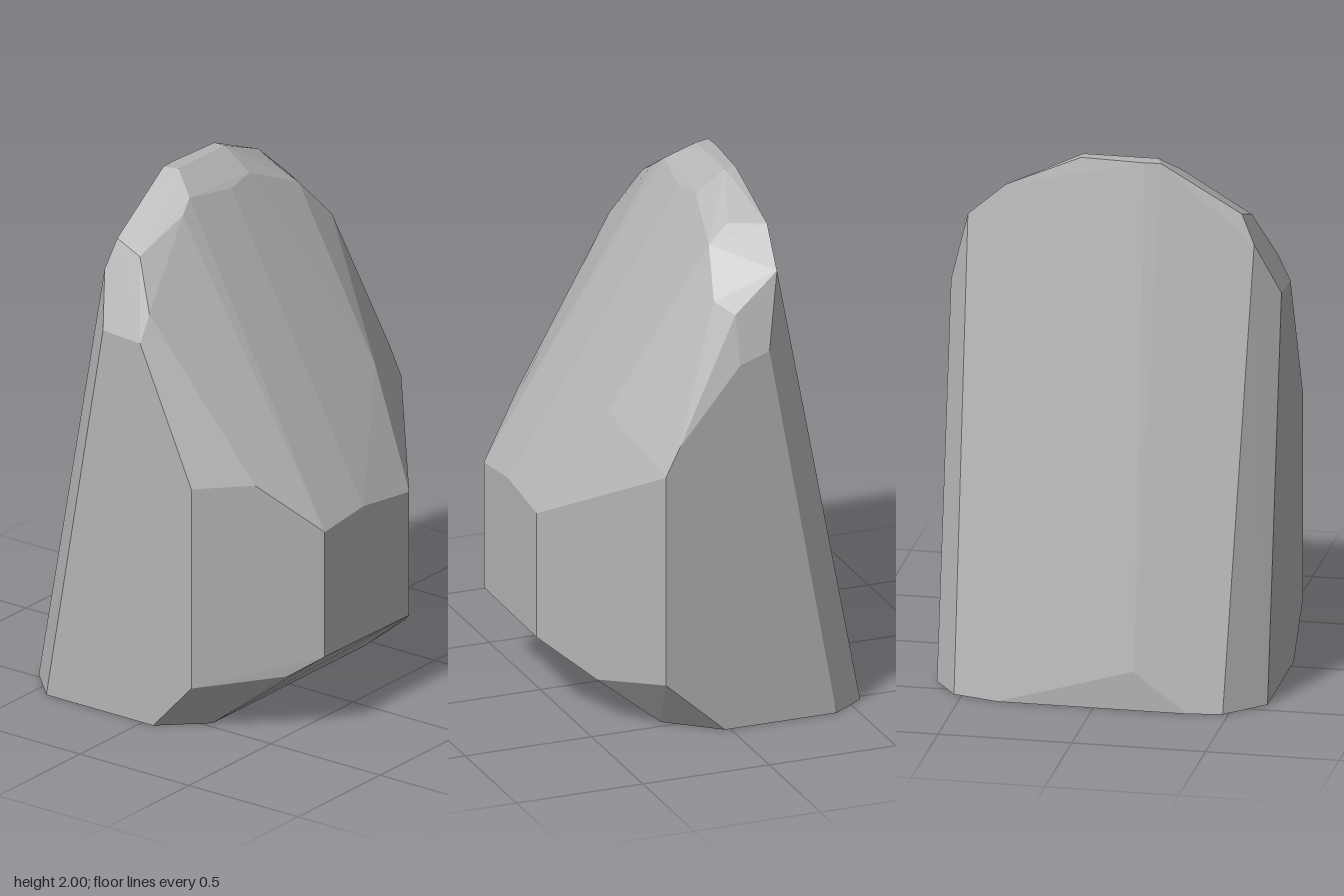
import * as THREE from 'three';
import { ConvexGeometry } from 'three/addons/geometries/ConvexGeometry.js';

const toVectors = (list) => list.map(([x, y, z]) => new THREE.Vector3(x, y, z));

export function createModel() {
  const stone = new THREE.MeshStandardMaterial({ color: 0xb4b4b4 });
  stone.name = 'grey stone';

  // Flat underside, as x and z corners on the ground
  const base = [
    [-0.44, 0.62], [0.05, 0.62], [0.21, 0.47], [0.21, -0.46], [0.02, -0.62],
    [-0.42, -0.62], [-0.55, -0.53], [-0.6, -0.36], [-0.6, 0.35], [-0.58, 0.48],
  ].map(([x, z]) => [x, 0, z]);

  // Vertical front cut
  const front = [
    [0.225, 0.19, 0.62], [0.225, 0.98, 0.62], [-0.01, 1.5, 0.62], [-0.18, 1.51, 0.62],
  ];

  // Vertical back cut
  const back = [
    [0.255, 0.21, -0.62], [0.255, 1.03, -0.62], [0.2, 1.14, -0.62],
    [-0.04, 1.43, -0.62], [-0.155, 1.47, -0.62],
  ];

  // Broad side wall, its lower chamfer and its shoulders
  const side = [
    [0.6, 0.305, 0.305], [0.6, 0.3, -0.21], [0.6, 0.79, -0.21], [0.6, 0.825, 0.07],
    [0.6, 0.8, 0.305], [0.495, 0.23, 0.39], [0.44, 0.18, -0.4],
    [0.405, 0.99, 0.47], [0.36, 1.2, -0.32],
  ];

  // Top of the steep leaning wall
  const crest = [
    [-0.6, 0.15, 0.15], [-0.24, 1.71, 0.53], [-0.22, 1.82, 0.48],
    [-0.235, 2, 0.18], [-0.24, 2, 0.12], [-0.18, 2, 0.16], [-0.18, 2, -0.12],
    [-0.225, 2, -0.12], [-0.235, 1.88, -0.4], [-0.215, 1.75, -0.545],
  ];

  // Worn rim between the crest and the long slope
  const rim = [
    [-0.005, 1.6, 0.57], [-0.105, 1.78, 0.495], [-0.065, 1.885, 0.285],
    [-0.08, 1.93, 0.225], [-0.05, 1.905, 0.01], [-0.065, 1.92, -0.12],
    [-0.105, 1.875, -0.33], [-0.02, 1.815, -0.36], [0.02, 1.65, -0.51],
    [-0.04, 1.61, -0.57],
  ];

  // One faceted boulder spanning all the cuts
  const rock = new THREE.Mesh(
    new ConvexGeometry(toVectors([...base, ...front, ...back, ...side, ...crest, ...rim])),
    stone,
  );
  rock.name = 'rock';

  const group = new THREE.Group();
  group.name = 'boulder';
  group.add(rock);
  return group;
}
